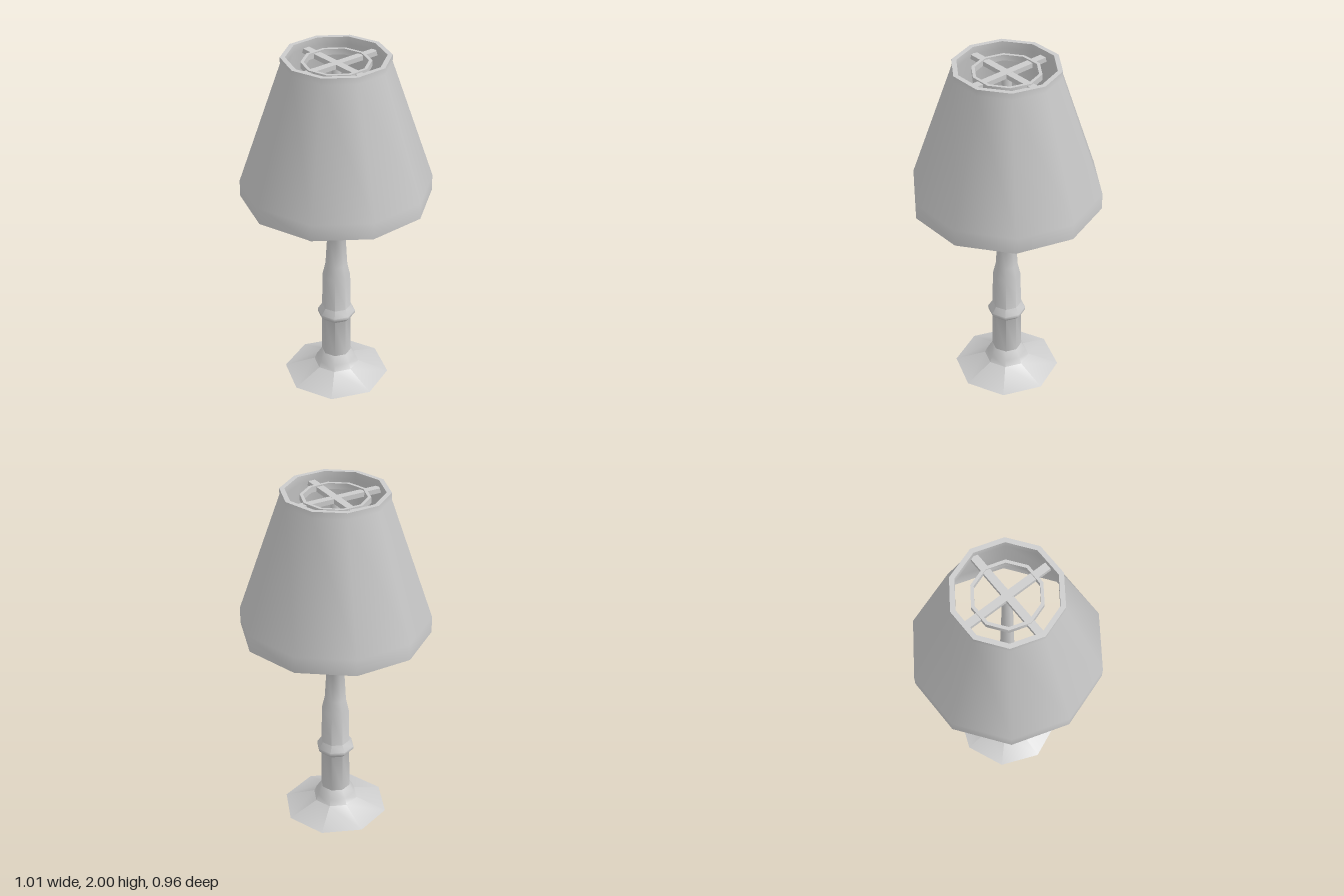
import * as THREE from 'three';
import { toCreasedNormals } from 'three/addons/utils/BufferGeometryUtils.js';

const material = new THREE.MeshStandardMaterial({ color: 0xcccccc });

function part(name, geometry) {
  const mesh = new THREE.Mesh(geometry, material);
  mesh.name = name;
  return mesh;
}

// Turned part with few sides and a corner on the x axis
function turned(name, profile, sides, crease = 0.9) {
  const points = profile.map(([r, y]) => new THREE.Vector2(r, y));
  const lathe = new THREE.LatheGeometry(points, sides, Math.PI / 2);
  return part(name, toCreasedNormals(lathe, crease));
}

export function createModel() {
  const lamp = new THREE.Group();
  lamp.name = 'tableLamp';

  // Eight-sided foot with a shallow pointed underside
  lamp.add(turned('base', [
    [0, 0], [0.21, 0.025], [0.292, 0.068], [0.125, 0.13],
    [0.11, 0.165], [0.08, 0.212], [0, 0.212],
  ], 8));

  // Turned stem with a collar, a shoulder and an upper swelling
  lamp.add(turned('stem', [
    [0.082, 0.2], [0.08, 0.435], [0.104, 0.46], [0.104, 0.475],
    [0.08, 0.512], [0.076, 0.71], [0.06, 0.78], [0.05, 0.95],
    [0.07, 1.0], [0.07, 1.03], [0.05, 1.2], [0.035, 1.4],
    [0.025, 1.94], [0, 1.94],
  ], 8));

  // Ten-sided hollow shade
  lamp.add(turned('shade', [
    [0.475, 1.22], [0.507, 1.22], [0.507, 1.31], [0.282, 1.965],
    [0.282, 2], [0.256, 2], [0.256, 1.96], [0.475, 1.31], [0.475, 1.22],
  ], 10));

  // Holder inside the top of the shade: ring and crossed bars
  const holder = new THREE.Group();
  holder.name = 'shadeHolder';
  holder.add(turned('holderRing', [
    [0.163, 1.94], [0.18, 1.94], [0.18, 1.972], [0.163, 1.972], [0.163, 1.94],
  ], 10));
  const barX = part('holderBarX', new THREE.BoxGeometry(0.52, 0.025, 0.04));
  const barZ = part('holderBarZ', new THREE.BoxGeometry(0.04, 0.026, 0.5));
  barX.position.y = barZ.position.y = 1.952;
  holder.add(barX, barZ);
  lamp.add(holder);

  return lamp;
}
